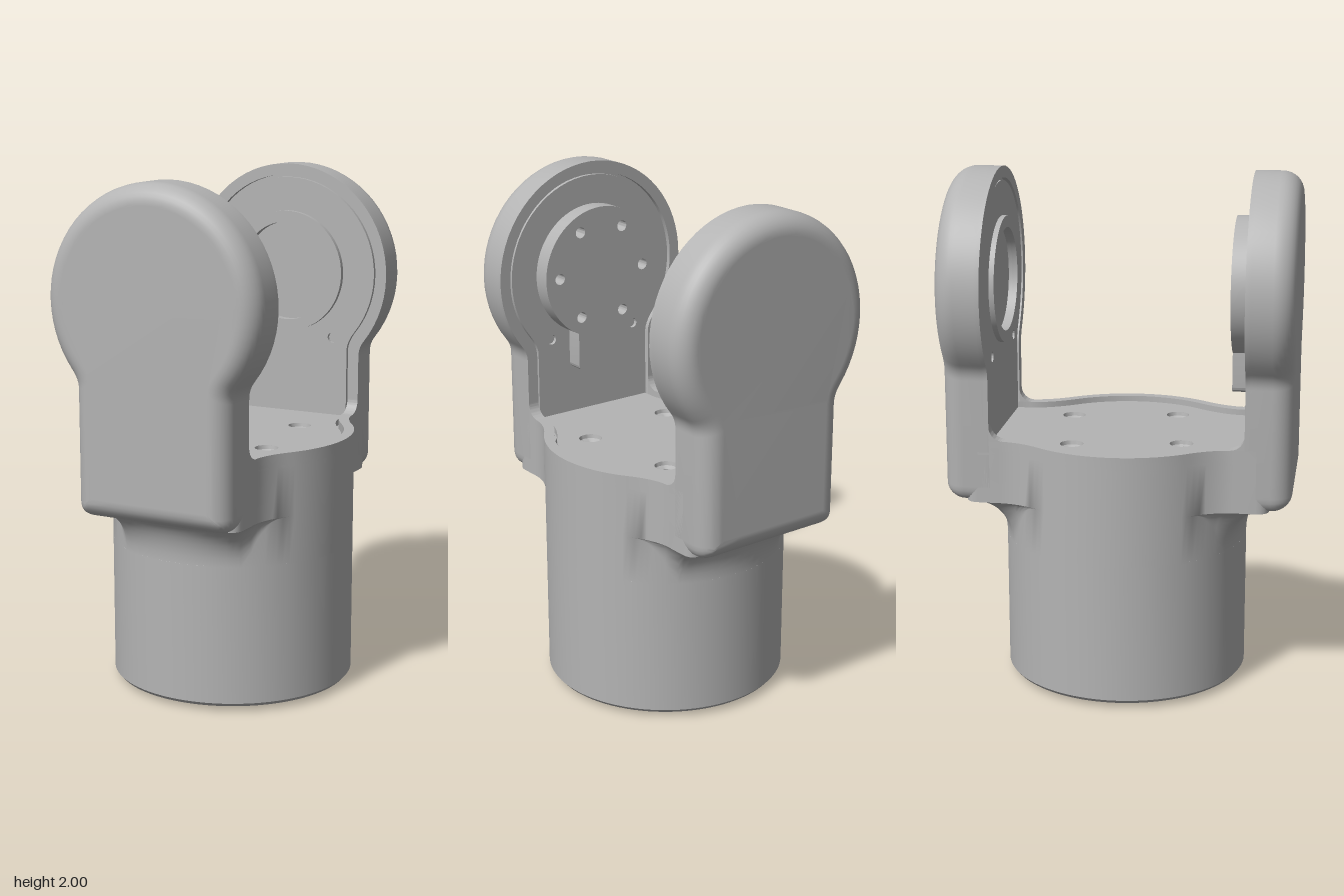
import * as THREE from 'three';
import { toCreasedNormals } from 'three/addons/utils/BufferGeometryUtils.js';

const V2 = (x, y) => new THREE.Vector2(x, y);
const HEAD_Y = 1.565;

// Closed circle as a hole path
function circle(x, y, r) {
  return new THREE.Path().absarc(x, y, r, 0, Math.PI * 2, true);
}

// Points on a quadratic curve, without its first point
function bend(a, b, c, n) {
  return new THREE.QuadraticBezierCurve(a, b, c).getPoints(n).slice(1);
}

// Keyhole outline of an arm, inset by d (counter-clockwise)
function keyhole(d) {
  const r = 0.435 - d, hw = 0.32 - d, bottom = 0.755 + d, c = Math.max(0.06 - d, 0.006);
  const start = THREE.MathUtils.degToRad(-38);
  const right = bend(V2(0, bottom), V2((hw - c) / 2, bottom), V2(hw - c, bottom), 3);
  right.push(...bend(V2(hw - c, bottom), V2(hw, bottom), V2(hw, bottom + c), 6));
  const p = V2(r * Math.cos(start), HEAD_Y + r * Math.sin(start));
  const ctrl = V2(hw, p.y - (p.x - hw) * 1.28);
  const end = V2(hw, ctrl.y - 0.035);
  right.push(end, ...bend(end, ctrl, p, 6));
  for (let i = 1; i < 24; i++) {
    const a = start + (Math.PI / 2 - start) * i / 24;
    right.push(V2(r * Math.cos(a), HEAD_Y + r * Math.sin(a)));
  }
  const left = right.map(q => V2(-q.x, q.y)).reverse();
  return [V2(0, bottom), ...right, V2(0, HEAD_Y + r), ...left];
}

// Plan outline of the body top: a circle flowing into two straight necks
function plan(r, hw, zEnd, c) {
  const q = [], a1 = Math.PI / 5;
  for (let i = 0; i <= 14; i++) q.push(V2(r * Math.cos(a1 * i / 14), r * Math.sin(a1 * i / 14)));
  const p = q[14];
  const ctrl = V2(hw, p.y + (p.x - hw) * 1.376);
  q.push(...bend(p, ctrl, V2(hw, ctrl.y + 0.08), 8));
  q.push(V2(hw, zEnd - c), ...bend(V2(hw, zEnd - c), V2(hw, zEnd), V2(hw - c, zEnd), 5));
  for (let k = 5; k >= 0; k--) q.push(V2((hw - c) * k / 6, zEnd));
  const m = (list, sx, sy) => list.map(v => V2(v.x * sx, v.y * sy));
  return [...q, ...m(q.slice(0, -1).reverse(), -1, 1), ...m(q.slice(1), -1, -1),
    ...m(q.slice(1, -1).reverse(), 1, -1)];
}

// Skin over rings of equal length, optionally capped at both ends
function loft(rings, capped) {
  const n = rings[0].length, pos = [], idx = [];
  rings.forEach(r => r.forEach(v => pos.push(v.x, v.y, v.z)));
  for (let i = 0; i < rings.length - 1; i++) {
    for (let j = 0; j < n; j++) {
      const a = i * n + j, b = i * n + (j + 1) % n;
      idx.push(a, b, b + n, a, b + n, a + n);
    }
  }
  if (capped) {
    const last = (rings.length - 1) * n;
    const flat = r => r.map(v => V2(v.x, v.y));
    THREE.ShapeUtils.triangulateShape(flat(rings[0]), []).forEach(([a, b, c]) => idx.push(a, c, b));
    THREE.ShapeUtils.triangulateShape(flat(rings[rings.length - 1]), [])
      .forEach(([a, b, c]) => idx.push(last + a, last + b, last + c));
  }
  const g = new THREE.BufferGeometry();
  g.setAttribute('position', new THREE.Float32BufferAttribute(pos, 3));
  g.setIndex(idx);
  return toCreasedNormals(g, 0.6);
}

// Plate between two depths, with holes
function plate(shape, holes, z0, z1) {
  const s = Array.isArray(shape) ? new THREE.Shape(shape) : shape;
  s.holes.push(...holes);
  const g = new THREE.ExtrudeGeometry(s, { depth: z1 - z0, bevelEnabled: false, curveSegments: 40 });
  g.translate(0, 0, z0);
  return toCreasedNormals(g, 0.6);
}

function lathe(points, seg = 96) {
  const g = new THREE.LatheGeometry(points.map(p => V2(p[0], p[1])), seg);
  return toCreasedNormals(g, 0.5);
}

const upright = g => g.rotateX(-Math.PI / 2);

export function createModel() {
  const model = new THREE.Group();
  model.name = 'rotaryYoke';
  const grey = new THREE.MeshStandardMaterial({ color: 0xb4b4b4, side: THREE.DoubleSide });
  grey.name = 'plain grey';
  const add = (parent, name, geometry) => {
    const m = new THREE.Mesh(geometry, grey);
    m.name = name;
    parent.add(m);
    return m;
  };

  // Hollow round body, open at the bottom
  add(model, 'bodyTube', lathe([[0.435, 0.02], [0.463, 0.02], [0.475, 0.034], [0.475, 0.575],
    [0.47, 0.58], [0.47, 0.95], [0.435, 0.95], [0.435, 0.02]]));

  // Shoulders that grow out of the body with a hollow fillet below
  const outer = plan(0.475, 0.32, 0.58, 0.05);
  const rings = [];
  const onBody = v => v.clone().setLength(0.475);
  rings.push(outer.map(v => { const c = onBody(v); return new THREE.Vector3(c.x, c.y, 0.57); }));
  for (let i = 10; i >= 0; i--) {
    const t = Math.PI / 2 * i / 10;
    rings.push(outer.map(v => {
      const c = onBody(v);
      const drop = 0.175 * Math.min(1, v.distanceTo(c) / 0.1);
      const p = v.clone().lerp(c, Math.sin(t));
      return new THREE.Vector3(p.x, p.y, 0.755 - drop * (1 - Math.cos(t)));
    }));
  }
  rings.push(outer.map(v => new THREE.Vector3(v.x, v.y, 0.95)));
  add(model, 'shoulders', upright(loft(rings, false)));

  // Raised rim, groove floor and deck
  const rimHole = new THREE.Path(plan(0.435, 0.275, 0.51, 0.01));
  add(model, 'rim', upright(plate(outer, [rimHole], 0.95, 1.0)));
  add(model, 'grooveFloor', upright(plate(outer, [circle(0, 0, 0.435)], 0.945, 0.955)));
  const screws = [[-0.24, -0.18], [0.175, -0.24], [0.235, 0.175], [-0.18, 0.235]];
  add(model, 'deck', upright(plate(plan(0.424, 0.263, 0.497, 0.01),
    screws.map(([x, z]) => circle(x, -z, 0.045)), 0.94, 0.98)));
  screws.forEach(([x, z]) => {
    add(model, 'screwSeat', lathe([[0.045, 0.98], [0.042, 0.965], [0.026, 0.955], [0.026, 0.93], [0, 0.93]], 32))
      .position.set(x, 0, z);
  });

  // Drive hub seen from below
  add(model, 'motorCase', lathe([[0, 0.2], [0.34, 0.2], [0.34, 0.935], [0, 0.935]]));
  add(model, 'hubCore', lathe([[0, 0.06], [0.268, 0.06], [0.268, 0.2]]));
  const hubHoles = [circle(0, 0, 0.088)];
  for (let i = 0; i < 6; i++) {
    const a = Math.PI / 3 * i + 0.25, b = a + Math.PI / 6;
    hubHoles.push(circle(0.18 * Math.cos(a), 0.18 * Math.sin(a), 0.043));
    hubHoles.push(circle(0.19 * Math.cos(b), 0.19 * Math.sin(b), 0.017));
  }
  const hubDisc = new THREE.Shape().absarc(0, 0, 0.27, 0, Math.PI * 2);
  add(model, 'hubFace', upright(plate(hubDisc, hubHoles, 0, 0.07)));

  // Arms: shared shell, lip, corner fillets and inner panel
  const shell = [[0, 0.505], [0, 0.585]];
  for (let i = 1; i <= 8; i++) {
    const t = Math.PI / 2 * i / 8;
    shell.push([0.075 * (1 - Math.cos(t)), 0.585 + 0.08 * Math.sin(t)]);
  }
  shell.push([0.08, 0.665]);
  const shellGeo = loft(shell.map(([d, z]) => keyhole(d).map(v => new THREE.Vector3(v.x, v.y, z))), true);
  const lipGeo = plate(keyhole(0), [new THREE.Path(keyhole(0.045))], 0.485, 0.505);

  const cove = new THREE.Shape();
  cove.moveTo(-0.485, 1.0);
  cove.lineTo(-0.485, 1.055);
  cove.absarc(-0.43, 1.055, 0.055, Math.PI, Math.PI * 1.5, false);
  const coveGeo = plate(cove, [], -0.0225, 0.0225).rotateY(Math.PI / 2);

  ['frontArm', 'backArm'].forEach((name, i) => {
    const arm = new THREE.Group();
    arm.name = name;
    arm.rotation.y = i * Math.PI;
    add(arm, 'armShell', shellGeo);
    add(arm, 'armLip', lipGeo);
    [-1, 1].forEach(s => { add(arm, 'cornerFillet', coveGeo).position.x = s * 0.2975; });
    const holes = [circle(-0.2, 1.3, 0.02), circle(0.2, 1.3, 0.02)];
    if (i === 1) holes.push(circle(0, HEAD_Y, 0.2));
    add(arm, 'innerPanel', plate(keyhole(0.055), holes, 0.49, 0.506));
    model.add(arm);
  });

  // Drive plate with a tail, inside the front arm
  const tail = new THREE.Shape();
  const a0 = -Math.acos(0.115 / 0.265);
  tail.absarc(0, HEAD_Y, 0.265, a0, Math.PI - a0, false);
  tail.lineTo(-0.115, 1.195);
  tail.quadraticCurveTo(-0.115, 1.17, -0.09, 1.17);
  tail.lineTo(0.09, 1.17);
  tail.quadraticCurveTo(0.115, 1.17, 0.115, 1.195);
  const bolts = [];
  for (let i = 0; i < 6; i++) {
    const a = Math.PI / 3 * i;
    bolts.push(circle(0.2 * Math.cos(a), HEAD_Y + 0.2 * Math.sin(a), 0.022));
  }
  add(model.getObjectByName('frontArm'), 'drivePlate', plate(tail, bolts, 0.42, 0.492));

  // Bearing ring inside the back arm
  const ring = new THREE.Shape().absarc(0, HEAD_Y, 0.245, 0, Math.PI * 2);
  add(model.getObjectByName('backArm'), 'bearingRing', plate(ring, [circle(0, HEAD_Y, 0.2)], 0.47, 0.492));

  return model;
}
